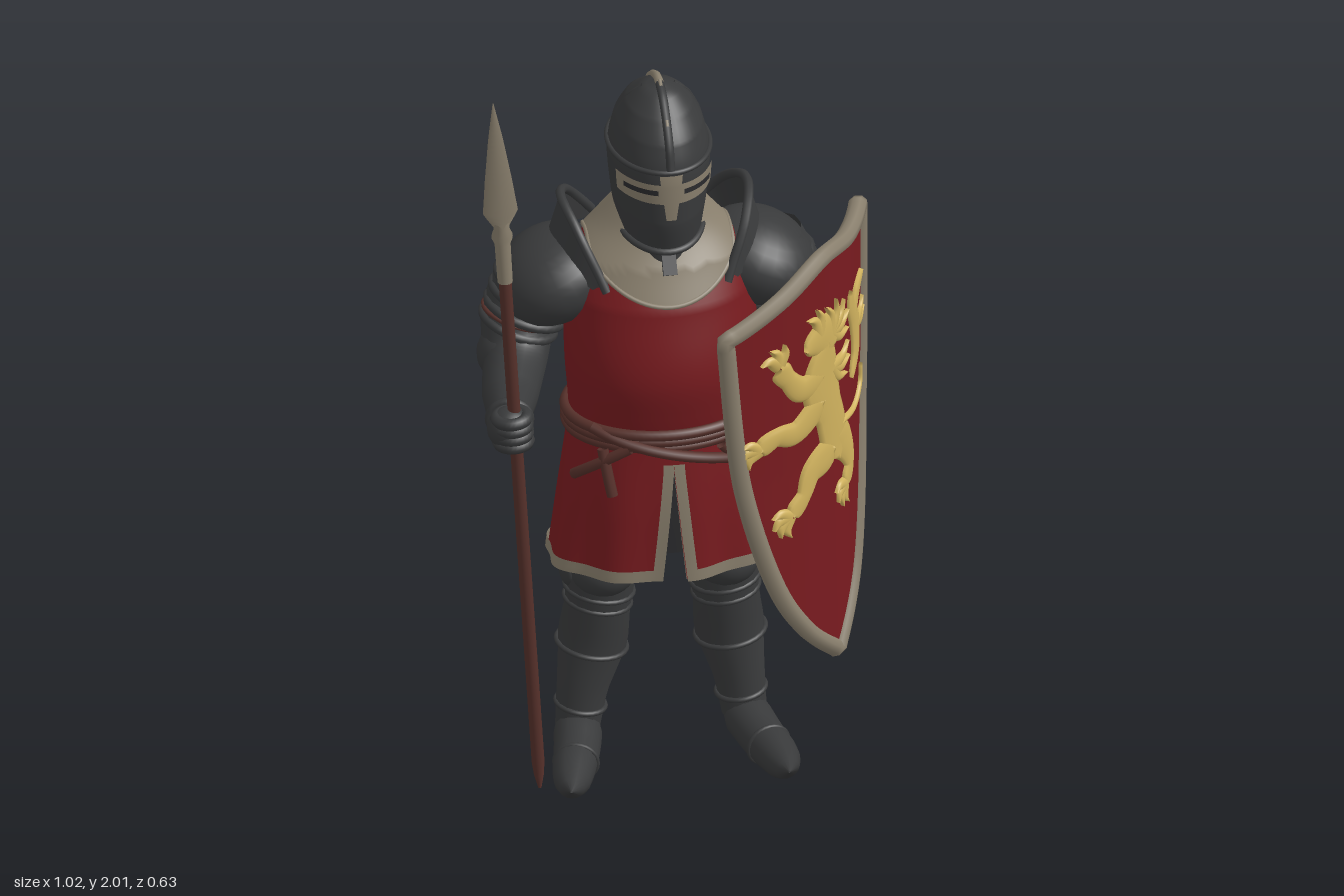
import * as THREE from 'three';
import { ParametricGeometry } from 'three/addons/geometries/ParametricGeometry.js';

const V = (x, y, z) => new THREE.Vector3(x, y, z);
const lerp = THREE.MathUtils.lerp;
const mat = (name, color) => {
  const m = new THREE.MeshStandardMaterial({ color, side: THREE.DoubleSide });
  m.name = name;
  return m;
};
const steel = mat('dark steel', 0x393a3b), red = mat('red cloth', 0x781b1f), tan = mat('pale trim', 0x897f6d),
  gold = mat('gold', 0xd0b25e), leather = mat('brown leather', 0x55302a), mail = mat('shadowed mail', 0x2b2b2d);

function add(parent, name, geo, m, pos) {
  const o = new THREE.Mesh(geo, m);
  o.name = name;
  if (pos) o.position.copy(pos);
  parent.add(o);
  return o;
}

// Surface from f(u, v) -> Vector3
const grid = (parent, name, m, nu, nv, f) =>
  add(parent, name, new ParametricGeometry((u, v, t) => t.copy(f(u, v)), nu, nv), m);

// Round tube through [x, y, z, radius] points
function limb(parent, name, m, pts, segs = 28, sides = 16) {
  const curve = new THREE.CatmullRomCurve3(pts.map(p => V(p[0], p[1], p[2])));
  const geo = new THREE.TubeGeometry(curve, segs, 1, sides), pos = geo.attributes.position, v = V(0, 0, 0);
  for (let i = 0; i < pos.count; i++) {
    const at = Math.floor(i / (sides + 1)) / segs;
    const k = curve.getUtoTmapping(at) * (pts.length - 1), j = Math.min(Math.floor(k), pts.length - 2);
    const c = curve.getPointAt(at), r = lerp(pts[j][3], pts[j + 1][3], k - j);
    v.fromBufferAttribute(pos, i).sub(c).multiplyScalar(r).add(c);
    pos.setXYZ(i, v.x, v.y, v.z);
  }
  return add(parent, name, geo, m);
}

const tube = (parent, name, m, pts, r, segs = 40, closed = false) =>
  add(parent, name, new THREE.TubeGeometry(new THREE.CatmullRomCurve3(pts, closed), segs, r, 8, closed), m);

function ball(parent, name, m, x, y, z, rx, ry = rx, rz = rx) {
  const o = add(parent, name, new THREE.SphereGeometry(1, 24, 16), m, V(x, y, z));
  o.scale.set(rx, ry, rz);
  return o;
}

// Ring around a limb, facing along dir
function ring(parent, name, m, c, dir, r, t) {
  const o = add(parent, name, new THREE.TorusGeometry(r, t, 8, 28), m, c);
  o.quaternion.setFromUnitVectors(V(0, 0, 1), dir.clone().normalize());
}

// Body shell from [y, half width, front z, back z]; the result maps (angle, y, offset) to a point
function shell(rings) {
  const curve = new THREE.CatmullRomCurve3(rings.map(r => V(r[1], r[2], r[3])));
  return (a, y, off = 0) => {
    let i = 0;
    while (i < rings.length - 2 && y > rings[i + 1][0]) i++;
    const k = THREE.MathUtils.clamp((y - rings[i][0]) / (rings[i + 1][0] - rings[i][0]), 0, 1);
    const p = curve.getPoint((i + k) / (rings.length - 1));
    return V((p.x + off) * Math.sin(a), y, (p.y + p.z) / 2 + ((p.y - p.z) / 2 + off) * Math.cos(a));
  };
}
const torso = shell([[.9, .225, .085, -.235], [1, .23, .11, -.25], [1.12, .238, .125, -.272], [1.3, .235, .085, -.288],
  [1.4, .205, .035, -.28], [1.47, .145, -.01, -.25], [1.53, .1, -.03, -.21]]);
const skirt = shell([[.57, .28, .122, -.235], [.75, .258, .118, -.235], [.96, .228, .1, -.24]]);
const helm = shell([[1.45, .1, .045, -.25], [1.55, .115, .068, -.282], [1.66, .125, .07, -.282], [1.7, .122, .066, -.275],
  [1.76, .108, .045, -.255], [1.81, .083, .005, -.215], [1.845, .05, -.04, -.16], [1.862, .004, -.095, -.105]]);
const patch = (g, name, m, sh, a0, a1, y0, y1, off, nu = 48, nv = 16) =>
  grid(g, name, m, nu, nv, (u, v) => sh(lerp(a0, a1, u), lerp(y0, y1, v), off));

function buildHelmet(g) {
  // Lower edge rises towards the back
  const edge = a => 1.485 - .025 * Math.cos(a);
  grid(g, 'helmet', steel, 48, 40, (u, v) => {
    const a = (u * 2 - 1) * Math.PI;
    return helm(a, lerp(edge(a), 1.862, v));
  });
  patch(g, 'neckGuard', steel, helm, -Math.PI, Math.PI, 1.4, 1.52, -.015);
  patch(g, 'visorBand', tan, helm, -1.15, 1.15, 1.61, 1.664, .006, 32, 4);
  grid(g, 'nasal', tan, 8, 12, (u, v) => helm((u * 2 - 1) * lerp(.1, .22, v), lerp(1.565, 1.69, v), .009));
  for (const s of [-1, 1]) {
    patch(g, 'eyeSlit', mail, helm, s * .24, s * .92, 1.637, 1.651, .011, 16, 2);
    tube(g, 'helmetRib', steel, Array.from({ length: 9 }, (_, i) => helm(s * 1.75, 1.7 + i * .0185, -.002)), .004);
  }
  const around = f => Array.from({ length: 32 }, (_, i) => helm(i / 32 * Math.PI * 2, f(i / 32 * Math.PI * 2), .002));
  tube(g, 'browRim', steel, around(() => 1.695), .007, 64, true);
  tube(g, 'helmetRim', steel, around(edge), .009, 64, true);
  // Midline ridge: dark over the brow, pale from the crown backwards
  const ys = [1.7, 1.75, 1.79, 1.82, 1.845], crown = V(0, 1.862, -.085);
  tube(g, 'browRidge', steel, [...ys.map(y => helm(0, y)), crown], .011);
  tube(g, 'crest', tan, [crown, V(0, 1.862, -.115), ...ys.reverse().map(y => helm(Math.PI, y)),
    helm(Math.PI, 1.6), helm(Math.PI, 1.51, .006)], .011, 60);
  tube(g, 'ridgeInlay', tan, [helm(0, 1.8, .009), helm(0, 1.83, .009), V(0, 1.872, -.085)], .005);
  add(g, 'chinStrap', new THREE.BoxGeometry(.035, .06, .01), steel, V(0, 1.425, .045)).rotation.x = -.6;
}

function buildSurcoat(g) {
  patch(g, 'surcoatBody', red, torso, -Math.PI, Math.PI, .9, 1.53, 0, 64, 32);
  // Wide collar dipping at front and back
  const low = a => 1.44 - (Math.cos(a) > 0 ? .12 : .09) * Math.cos(a) ** 2;
  grid(g, 'collar', tan, 64, 14, (u, v) => {
    const a = (u * 2 - 1) * Math.PI;
    return torso(a, lerp(low(a), 1.53, v), .008);
  });
  tube(g, 'collarRim', tan, Array.from({ length: 40 }, (_, i) => torso(i * Math.PI / 20, low(i * Math.PI / 20), .005)), .006, 80, true);
  // Skirt panels, open in a wedge at front and an arch at back
  const cloth = (a, y, off) => skirt(a, y, off + .007 * Math.sin(a * 9) * (.96 - y) / .38);
  const gap = (y, k, e) => k * (Math.max(0, .88 - y) / .3) ** e;
  for (const s of [-1, 1]) {
    const at = (u, y, off) => cloth(s * lerp(gap(y, .1, 1), Math.PI - gap(y, .24, .6), u), y, off);
    grid(g, 'skirtPanel', red, 44, 16, (u, v) => at(u, lerp(.57, .96, v), 0));
    for (const o of [-.006, .007]) {
      grid(g, 'hemTrim', tan, 44, 2, (u, v) => at(u, lerp(.567, .598, v), o));
      grid(g, 'frontSlitTrim', tan, 2, 14, (u, v) => at(u * .034, lerp(.567, .89, v), o));
      grid(g, 'backSlitTrim', tan, 2, 14, (u, v) => at(1 - u * .04, lerp(.567, .9, v), o));
    }
  }
  patch(g, 'mailSkirt', mail, skirt, -Math.PI, Math.PI, .63, .95, -.025);
  // Belt, loose straps and hanging ends
  for (const y of [.935, .955, .975])
    tube(g, 'belt', leather, Array.from({ length: 36 }, (_, i) => torso(i * Math.PI / 18, y, .008)), .014, 72, true);
  const strap = (a0, y0, a1, y1) => tube(g, 'strap', leather,
    Array.from({ length: 9 }, (_, i) => skirt(lerp(a0, a1, i / 8), lerp(y0, y1, i / 8), .018)), .014);
  strap(-.9, .98, .85, .87);
  strap(-1.1, .84, -.45, .94);
  strap(-.75, .93, -.6, .81);
  strap(.5, .93, .9, .82);
}

function buildLeg(g, s) {
  limb(g, 'leg', steel, [[s * .13, .92, -.07, .09], [s * .145, .7, -.06, .098], [s * .153, .54, -.05, .09],
    [s * .16, .42, -.06, .082], [s * .17, .32, -.07, .088], [s * .195, .18, -.073, .064], [s * .208, .07, -.07, .056]]);
  ball(g, 'kneePlate', steel, s * .153, .535, -.022, .082, .07, .078);
  ball(g, 'kneeWing', steel, s * .235, .53, -.06, .022, .05, .05);
  for (const [x, y, z, r] of [[.15, .6, -.053, .094], [.157, .465, -.056, .085], [.16, .43, -.06, .082],
    [.173, .3, -.07, .087], [.2, .13, -.072, .061]]) {
    ring(g, 'legBand', steel, V(s * x, y, z), V(s * .15, -1, 0), r, .007);
    ball(g, 'buckle', steel, s * (x + .02), y, z - r, .016);
  }
  limb(g, 'foot', steel, [[s * .205, .045, -.135, .004], [s * .207, .05, -.12, .042], [s * .213, .062, -.04, .06],
    [s * .232, .055, .05, .057], [s * .252, .05, .12, .053], [s * .264, .044, .165, .045], [s * .27, .04, .19, .03], [s * .272, .038, .2, .003]]);
  ring(g, 'footBand', steel, V(s * .24, .053, .085), V(s * .25, -.1, 1), .053, .006);
}

function buildArm(g, s, path) {
  ball(g, 'pauldron', steel, s * .255, 1.312, -.15, .148, .112, .158).rotation.z = -s * .4;
  limb(g, 'arm', steel, path);
  // Overlapping shoulder lames and a strap
  for (let i = 0; i < 4; i++)
    ring(g, 'armLame', steel, V(s * (.285 + i * .018), 1.285 - i * .036, -.162), V(s * .35, -1, 0), .109 - i * .006, .013);
  ring(g, 'armStrap', leather, V(s * .334, 1.2, -.163), V(s * .3, -1, .05), .094, .006);
  ball(g, 'elbowPlate', steel, path[2][0] + s * .01, path[2][1], path[2][2] - .02, .083, .08, .083);
  const [wx, wy, wz, wr] = path[path.length - 1], [px, py, pz] = path[path.length - 2];
  ring(g, 'gloveCuff', steel, V(wx, wy, wz), V(wx - px, wy - py, wz - pz), wr, .011);
  // Upright neck flange on the shoulder, leaning inwards
  const base = new THREE.CatmullRomCurve3([V(s * .13, 1.37, -.31), V(s * .22, 1.37, -.27), V(s * .272, 1.385, -.17),
    V(s * .235, 1.37, -.05), V(s * .15, 1.32, .015)]);
  const top = t => base.getPoint(t).add(V(-s * .04 * Math.sin(Math.PI * t), .115 * Math.sin(Math.PI * t) + .02, 0));
  grid(g, 'shoulderFlange', steel, 24, 4, (u, v) => base.getPoint(u).lerp(top(u), v));
  tube(g, 'flangeRim', steel, Array.from({ length: 14 }, (_, i) => top(i / 13)), .012);
}

// Curved shield: u runs across it, y is height
const onShield = (u, y, off = 0) => {
  const n = .085 * (1 - (u / .3) ** 2) + .025 * Math.max(0, .9 - y) + off;
  return V(.285 + .69 * u + .72 * n, y, .08 - .72 * u + .69 * n);
};

// Raised ribbon on the shield along [u, y, half width]
function ribbon(g, name, pts, taper = false) {
  const c = new THREE.CatmullRomCurve3(pts.map(p => V(p[0], p[1], 0)));
  grid(g, name, gold, 20, 8, (t, v) => {
    const k = t * (pts.length - 1), j = Math.min(Math.floor(k), pts.length - 2), q = v * 2 - 1;
    const p = c.getPoint(t), d = c.getTangent(t);
    const w = lerp(pts[j][2], pts[j + 1][2], k - j) * (taper ? 1 : Math.sqrt(Math.max(.002, 1 - (2 * t - 1) ** 8)));
    return onShield(p.x - d.y * q * w, p.y + d.x * q * w, .003 + .011 * Math.sqrt(1 - q * q));
  });
}

function buildShield(g) {
  const outline = new THREE.CurvePath();
  const sides = [[[-.305, 1.34], [-.15, 1.405], [0, 1.462], [.15, 1.45], [.297, 1.46]],
    [[.297, 1.46], [.303, 1.13], [.265, .81], [.185, .5], [.06, .3]],
    [[.06, .3], [-.075, .42], [-.18, .6], [-.265, .92], [-.305, 1.34]]];
  for (const s of sides) outline.add(new THREE.SplineCurve(s.map(p => new THREE.Vector2(...p))));
  const face = off => (t, v) => {
    const p = outline.getPoint(Math.min(t, .99999)), k = Math.max(.005, v);
    return onShield(lerp(.02, p.x, k), lerp(1, p.y, k), off);
  };
  grid(g, 'shieldFace', red, 90, 14, face(0));
  grid(g, 'shieldBack', steel, 90, 14, face(-.022));
  const rim = Array.from({ length: 120 }, (_, i) => face(-.008)(i / 120, .975));
  tube(g, 'shieldRim', tan, rim, .0235, 180, true);
  tube(g, 'shieldGrip', leather, [onShield(-.2, 1.03, -.02), onShield(-.16, 1.03, -.065), onShield(-.1, 1.03, -.065), onShield(-.06, 1.03, -.02)], .012);
  // Rearing beast
  ribbon(g, 'beastBody', [[.01, 1.22, .055], [-.01, 1.11, .08], [.025, 1.01, .06], [.05, .93, .066], [.06, .86, .045]]);
  ribbon(g, 'beastHead', [[-.08, 1.225, .022], [-.045, 1.235, .042], [0, 1.235, .065], [.04, 1.2, .06]]);
  ribbon(g, 'beastForelegHigh', [[-.01, 1.13, .045], [-.09, 1.125, .036], [-.135, 1.17, .026], [-.165, 1.215, .036]]);
  ribbon(g, 'beastForelegLow', [[-.01, 1.06, .05], [-.11, 1.01, .036], [-.17, 1.02, .027], [-.225, 1, .035]]);
  ribbon(g, 'beastHindlegBack', [[.05, .93, .06], [.11, .87, .046], [.13, .81, .028], [.105, .765, .036]]);
  ribbon(g, 'beastHindlegFront', [[.04, .9, .06], [-.05, .875, .042], [-.085, .82, .027], [-.13, .78, .036]]);
  ribbon(g, 'beastTail', [[.08, .95, .01], [.17, .945, .009], [.23, .98, .009], [.235, 1.03, .008]]);
  ribbon(g, 'beastTailTuft', [[.145, 1.04, .02], [.185, 1.1, .032], [.18, 1.18, .036], [.15, 1.24, .026], [.14, 1.29, .014]]);
  ribbon(g, 'beastTailLock', [[.16, 1.2, .022], [.19, 1.26, .026], [.245, 1.29, .014]]);
  // Pointed claws, mane and tuft locks: u, y, first angle, step, count, length
  for (const [u, y, a0, da, n, len] of [[-.165, 1.225, 1, .8, 3, .055], [-.225, 1, 2.4, .7, 3, .05], [.1, .765, 2.8, .6, 4, .055],
    [-.135, .78, 2.6, .6, 4, .055], [.03, 1.23, -.6, .55, 5, .09], [.035, 1.13, -.9, .5, 3, .09], [.19, 1.17, -.2, .5, 2, .075], [-.02, 1.25, 1.5, .5, 2, .08]])
    for (let i = 0; i < n; i++) {
      const a = a0 + i * da;
      ribbon(g, 'beastPoint', [[u, y, .022], [u + Math.cos(a) * len * .6, y + Math.sin(a) * len * .6, .014],
        [u + Math.cos(a + .3) * len, y + Math.sin(a + .3) * len, .001]], true);
    }
}

function buildSpear(g) {
  const at = (y, r) => [lerp(-.365, -.482, (y - .04) / 1.96), y, .167, r];
  limb(g, 'spearShaft', leather, [at(.04, .004), at(.1, .016), at(.6, .016), at(1.52, .016)], 40, 12);
  limb(g, 'spearSocket', tan, [at(1.49, .019), at(1.6, .02), at(1.62, .028), at(1.64, .02), at(1.68, .02)], 24, 12);
  limb(g, 'spearBlade', tan, [at(1.645, .018), at(1.69, .044), at(1.78, .034), at(1.9, .018), at(2, .001)], 24, 4);
  // Gloved fist around the shaft
  ball(g, 'rightGlove', steel, -.438, 1.07, .163, .058, .056, .056);
  for (let i = 0; i < 4; i++)
    ring(g, 'finger', steel, V(-.432 + i * -.0015, 1.038 + i * .022, .172), V(-.06, 1, 0), .037, .016);
}

export function createModel() {
  const root = new THREE.Group();
  root.name = 'armouredGuard';
  const part = (name, build, x = 0, ...args) => {
    const g = new THREE.Group();
    g.name = name;
    g.position.x = x;
    root.add(g);
    build(g, ...args);
  };
  const cx = -.02;
  part('head', buildHelmet, cx);
  part('surcoat', buildSurcoat, cx);
  part('rightLeg', buildLeg, cx, -1);
  part('leftLeg', buildLeg, cx, 1);
  part('rightArm', buildArm, cx, -1, [[-.27, 1.33, -.16, .11], [-.335, 1.2, -.165, .095], [-.355, 1.11, -.11, .08],
    [-.392, 1.075, .02, .07], [-.412, 1.07, .12, .05]]);
  part('leftArm', buildArm, cx, 1, [[.27, 1.33, -.16, .11], [.345, 1.2, -.165, .095], [.36, 1.1, -.1, .076],
    [.325, 1.04, .05, .062], [.265, 1.03, .13, .045]]);
  part('leftHand', g => ball(g, 'leftGlove', steel, .225, 1.03, .155, .05));
  part('shield', buildShield);
  part('spear', buildSpear);
  return root;
}
